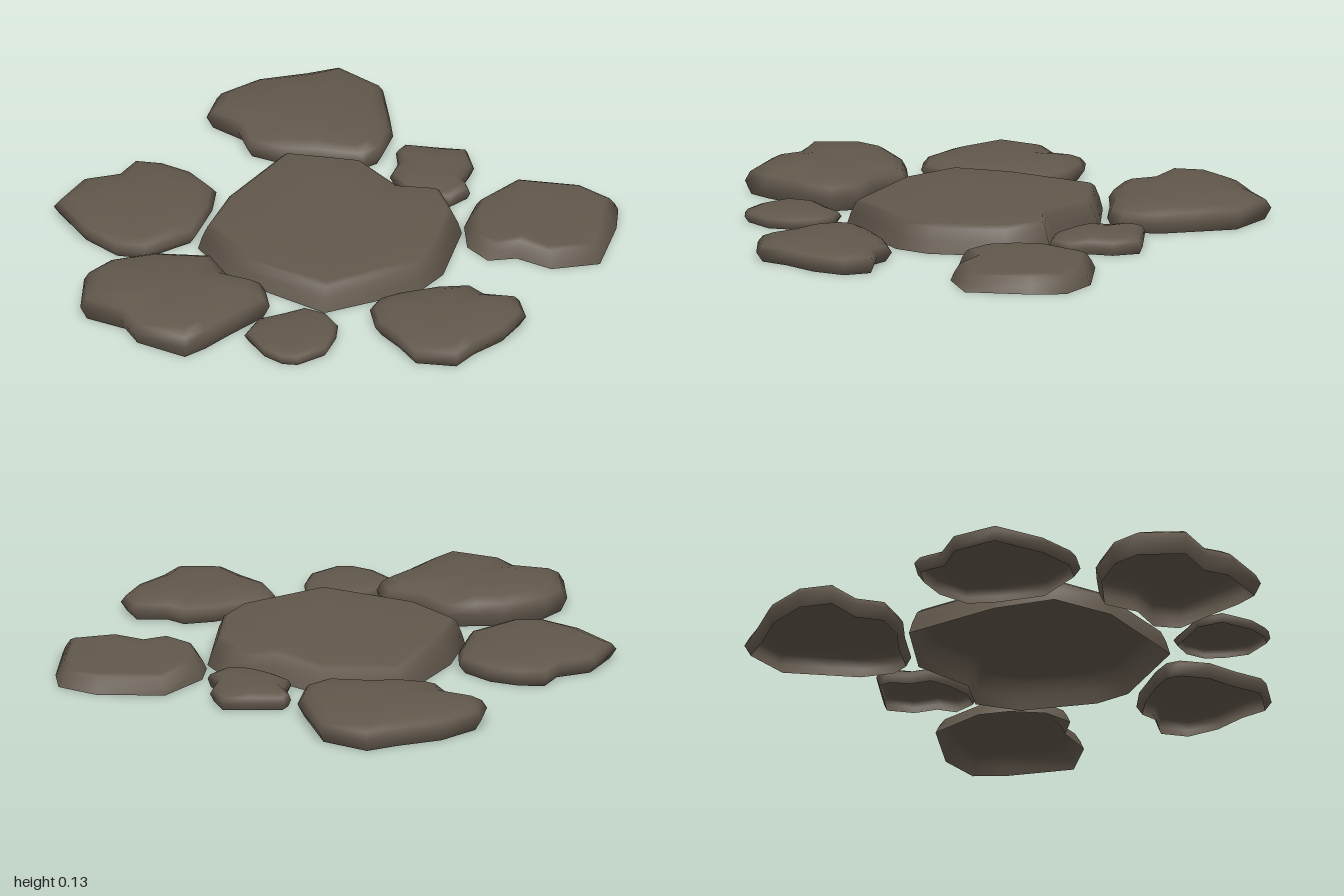
import * as THREE from 'three';

const rock = new THREE.MeshStandardMaterial({ color: 0x62584c, side: THREE.DoubleSide });
rock.name = 'brown stone';

// Cross-section rings: [inset distance, height fraction, extra scale toward the middle]
const ROUNDED = [[0.025, 0, 1], [0, 0.42, 1], [0.02, 0.7, 1], [0.06, 0.87, 1], [0.08, 0.97, 0.65]];
const FLARED = [[0, 0, 1], [0.015, 0.45, 1], [0.035, 0.85, 1], [0.055, 0.99, 1], [0.06, 1, 0.6]];

// Smooth shell with an open underside, lofted from a clockwise x,z outline
function stone(name, height, outline, rings = ROUNDED, insetScale = 1) {
  const n = outline.length;
  const cx = outline.reduce((s, p) => s + p[0], 0) / n;
  const cz = outline.reduce((s, p) => s + p[1], 0) / n;
  const pos = [];
  const index = [];
  for (const [inset, h, scale] of rings) {
    for (const [x, z] of outline) {
      const dx = x - cx, dz = z - cz;
      const k = (1 - inset * insetScale / Math.hypot(dx, dz)) * scale;
      pos.push(cx + dx * k, h * height, cz + dz * k);
    }
  }
  pos.push(cx, height, cz);
  const apex = rings.length * n;
  for (let r = 0; r < rings.length; r++) {
    for (let i = 0; i < n; i++) {
      const a = r * n + i, c = r * n + (i + 1) % n;
      if (r === rings.length - 1) index.push(a, apex, c);
      else index.push(a, a + n, c, c, a + n, c + n);
    }
  }
  const geo = new THREE.BufferGeometry();
  geo.setAttribute('position', new THREE.Float32BufferAttribute(pos, 3));
  geo.setIndex(index);
  geo.computeVertexNormals();
  const mesh = new THREE.Mesh(geo, rock);
  mesh.name = name;
  return mesh;
}

export function createModel() {
  const group = new THREE.Group();
  group.name = 'steppingStones';
  group.add(
    // Large flat slab in the middle
    stone('centreStone', 0.11, [
      [-0.07, -0.44], [0.16, -0.34], [0.32, -0.38], [0.44, -0.25], [0.5, 0.04], [0.47, 0.18],
      [0.21, 0.47], [-0.2, 0.41], [-0.41, 0.27], [-0.43, 0.03], [-0.36, -0.35]], FLARED),
    // Ring of surrounding stones
    stone('backLeftStone', 0.107, [
      [-0.42, -1], [-0.22, -0.95], [-0.11, -0.78], [-0.05, -0.68], [-0.03, -0.54], [-0.07, -0.47],
      [-0.24, -0.42], [-0.37, -0.37], [-0.51, -0.37], [-0.59, -0.46], [-0.74, -0.5],
      [-0.76, -0.63], [-0.67, -0.79], [-0.52, -0.91]]),
    stone('backSmallStone', 0.07, [
      [0.14, -0.69], [0.24, -0.72], [0.31, -0.63], [0.32, -0.53], [0.37, -0.47], [0.33, -0.38],
      [0.24, -0.36], [0.13, -0.39], [0.05, -0.44], [0.04, -0.53], [0, -0.6], [0.01, -0.65]],
      ROUNDED, 0.6),
    stone('backRightStone', 0.07, [
      [0.74, -0.69], [0.9, -0.65], [0.95, -0.53], [1, -0.28], [0.85, -0.17], [0.7, -0.18],
      [0.61, -0.12], [0.5, -0.17], [0.43, -0.29], [0.41, -0.41], [0.49, -0.62]], FLARED),
    stone('frontRightStone', 0.088, [
      [0.66, 0.13], [0.74, 0.16], [0.86, 0.13], [0.93, 0.22], [0.92, 0.36], [0.86, 0.5],
      [0.83, 0.61], [0.67, 0.66], [0.56, 0.59], [0.45, 0.53], [0.38, 0.43], [0.38, 0.37],
      [0.43, 0.3], [0.55, 0.19]]),
    stone('frontSmallStone', 0.053, [
      [0.15, 0.51], [0.24, 0.51], [0.31, 0.56], [0.34, 0.64], [0.35, 0.74], [0.28, 0.85],
      [0.22, 0.87], [0.13, 0.85], [0.02, 0.77], [0.02, 0.66], [0.09, 0.58]], ROUNDED, 0.6),
    stone('frontLeftStone', 0.126, [
      [-0.29, 0.4], [-0.17, 0.49], [-0.02, 0.5], [0.04, 0.59], [-0.02, 0.76], [-0.07, 0.9],
      [-0.12, 0.99], [-0.34, 0.98], [-0.43, 0.91], [-0.6, 0.9], [-0.67, 0.72], [-0.63, 0.6],
      [-0.5, 0.48], [-0.4, 0.44]]),
    stone('leftStone', 0.085, [
      [-0.85, -0.11], [-0.75, -0.14], [-0.62, -0.13], [-0.49, -0.06], [-0.45, 0.06], [-0.43, 0.26],
      [-0.55, 0.44], [-0.66, 0.47], [-0.82, 0.42], [-1, 0.29], [-0.98, 0.1], [-0.87, 0]]),
  );
  return group;
}
